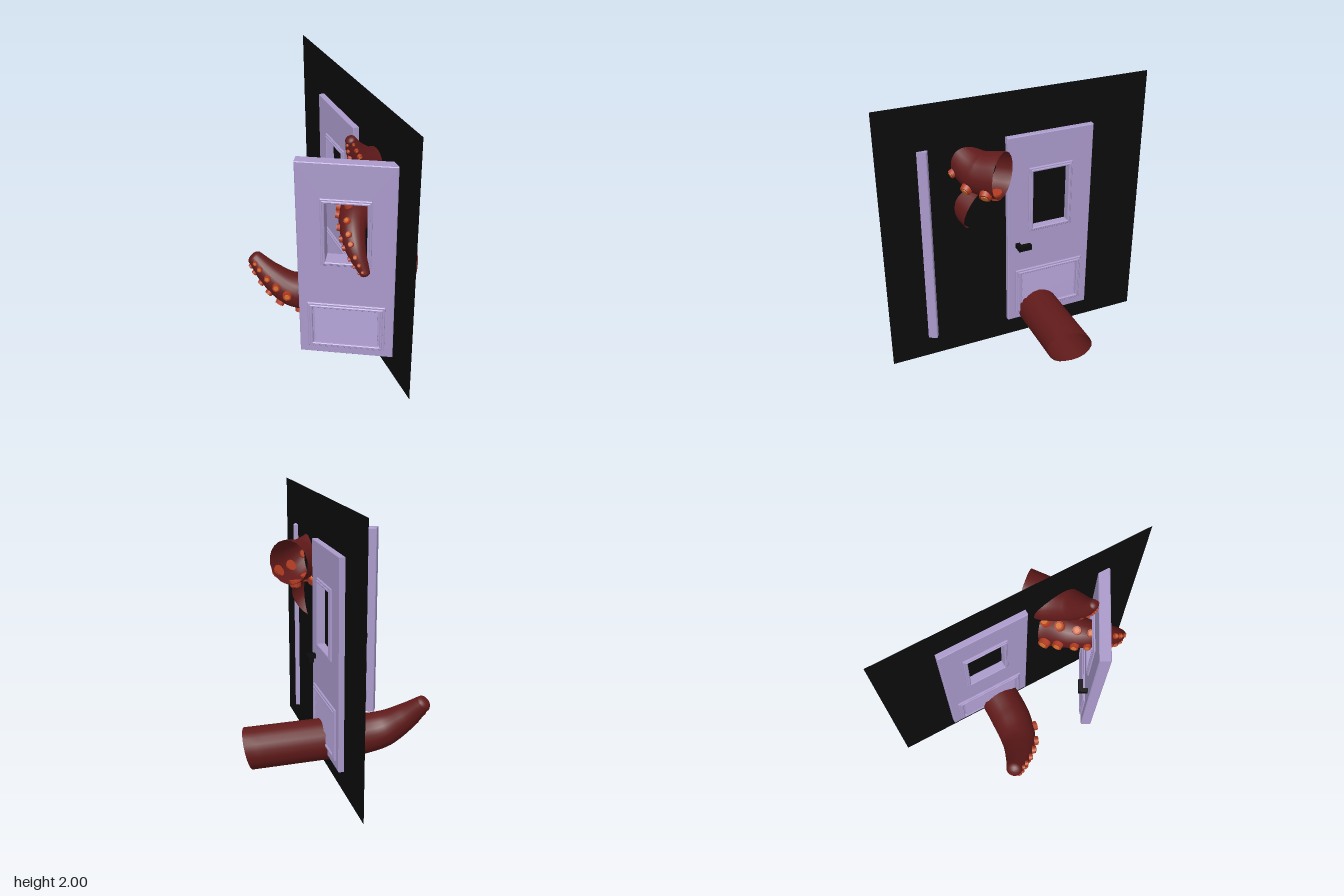
import * as THREE from 'three';

const mat = (color, side = THREE.FrontSide) => new THREE.MeshStandardMaterial({ color, side });
const lilac = mat(0xaa9acb);
const black = mat(0x0b0b0b, THREE.DoubleSide);
const handleBlack = mat(0x0b0b0b);
const skin = mat(0x611a1a, THREE.DoubleSide);
const rim = mat(0xb03a20);
const pad = mat(0xd0702c);

function add(parent, name, geometry, material, x = 0, y = 0, z = 0) {
  const mesh = new THREE.Mesh(geometry, material);
  mesh.name = name;
  mesh.position.set(x, y, z);
  parent.add(mesh);
  return mesh;
}

// Rectangular slab with a rectangular hole, centred in depth
function frameGeometry(w, h, holeW, holeH, depth, holeY = 0) {
  const rect = (Type, rw, rh, cy) => new Type([[-1, -1], [1, -1], [1, 1], [-1, 1]]
    .map(([a, b]) => new THREE.Vector2(a * rw / 2, cy + b * rh / 2)));
  const bevel = 0.005;
  const shape = rect(THREE.Shape, w - 2 * bevel, h - 2 * bevel, 0);
  shape.holes.push(rect(THREE.Path, holeW + 2 * bevel, holeH + 2 * bevel, holeY));
  const geometry = new THREE.ExtrudeGeometry(shape, {
    depth: depth - 2 * bevel, bevelThickness: bevel, bevelSize: bevel, bevelSegments: 1,
  });
  return geometry.translate(0, 0, bevel - depth / 2);
}

// Door with its width along x; the handle sits on the -x end of the chosen side
function makeDoor(name, side) {
  const door = new THREE.Group();
  door.name = name;
  add(door, 'doorLeaf', frameGeometry(0.66, 1.52, 0.28, 0.45, 0.08, 0.255), lilac, 0, 0.92, 0);

  // Stepped window trim, standing out on both faces
  add(door, 'windowTrimOuter', frameGeometry(0.34, 0.51, 0.305, 0.475, 0.106), lilac, 0, 1.175, 0);
  add(door, 'windowTrimInner', frameGeometry(0.315, 0.485, 0.28, 0.45, 0.12), lilac, 0, 1.175, 0);

  // Vent with stepped trim and louvres on both faces
  add(door, 'ventTrimOuter', frameGeometry(0.54, 0.38, 0.5, 0.34, 0.104), lilac, 0, 0.41, 0);
  add(door, 'ventTrimInner', frameGeometry(0.51, 0.35, 0.47, 0.31, 0.12), lilac, 0, 0.41, 0);
  for (const face of [-1, 1]) {
    for (let i = 0; i < 4; i++) {
      const slat = add(door, 'ventSlat', new THREE.BoxGeometry(0.44, 0.074, 0.014), lilac,
        0, 0.3 + i * 0.074, face * 0.042);
      slat.rotation.x = -face * 0.2;
    }
  }

  // Lever handle
  add(door, 'handleStem', new THREE.BoxGeometry(0.032, 0.036, 0.075), handleBlack, -0.254, 0.82, side * 0.07);
  add(door, 'handleLever', new THREE.BoxGeometry(0.1, 0.04, 0.035), handleBlack, -0.22, 0.82, side * 0.092);
  return door;
}

// Tapering tentacle: open at its base, rounded at its tip, two rows of suckers
// knots: [x, y, z, radius]; face: sucker direction at the base; cut: normal of the base opening
function makeTentacle(name, knots, face, suckers, cut) {
  const group = new THREE.Group();
  group.name = name;
  const curve = new THREE.CatmullRomCurve3(knots.map((k) => new THREE.Vector3(k[0], k[1], k[2])));
  const steps = 40, sides = 20, capSteps = 5;
  const frames = [];
  const ref = new THREE.Vector3(...face);
  for (let i = 0; i <= steps; i++) {
    const t = i / steps, p = curve.getPoint(t), d = curve.getTangent(t);
    ref.addScaledVector(d, -ref.dot(d)).normalize();
    const f = t * (knots.length - 1), k = Math.min(Math.floor(f), knots.length - 2);
    const r = THREE.MathUtils.lerp(knots[k][3], knots[k + 1][3], f - k);
    frames.push({ p, d, r, a: ref.clone(), b: d.clone().cross(ref) });
  }
  const outward = (f, angle) => f.a.clone().multiplyScalar(Math.cos(angle))
    .addScaledVector(f.b, Math.sin(angle));

  // Domed tip rings follow the body rings
  const rings = frames.slice();
  const end = frames[steps];
  for (let i = 1; i <= capSteps; i++) {
    const q = (i / capSteps) * Math.PI / 2;
    rings.push({ ...end, p: end.p.clone().addScaledVector(end.d, end.r * 0.6 * Math.sin(q)),
      r: Math.max(end.r * Math.cos(q), 0.0005) });
  }
  const position = [], index = [];
  rings.forEach((f, i) => {
    for (let j = 0; j < sides; j++) {
      const v = outward(f, (j / sides) * Math.PI * 2).multiplyScalar(f.r);
      if (i === 0 && cut) v.addScaledVector(f.d, -v.dot(cut) / f.d.dot(cut));
      position.push(...v.add(f.p).toArray());
      if (i === 0) continue;
      const n = (j + 1) % sides, lo = (i - 1) * sides, hi = i * sides;
      index.push(lo + j, lo + n, hi + n, lo + j, hi + n, hi + j);
    }
  });
  const geometry = new THREE.BufferGeometry();
  geometry.setAttribute('position', new THREE.Float32BufferAttribute(position, 3));
  geometry.setIndex(index);
  geometry.computeVertexNormals();
  add(group, 'tentacleBody', geometry, skin);

  // Paired suckers, closer together and smaller toward the tip
  const { from, to, count } = suckers;
  const up = new THREE.Vector3(0, 1, 0);
  for (let i = 0; i < count; i++) {
    const s = i / (count - 1);
    const t = from + (to - from) * (1.3 * s - 0.3 * s * s);
    const f = frames[Math.round(t * steps)];
    const size = f.r * 0.29;
    for (const row of [-1, 1]) {
      const dir = outward(f, row * 0.55);
      const sucker = new THREE.Group();
      sucker.name = 'sucker';
      sucker.position.copy(f.p).addScaledVector(dir, f.r);
      sucker.quaternion.setFromUnitVectors(up, dir);
      add(sucker, 'suckerRim', new THREE.CylinderGeometry(size * 0.88, size, size, 10), rim, 0, size * 0.12, 0);
      add(sucker, 'suckerPad', new THREE.CylinderGeometry(size * 0.55, size * 0.6, size * 0.2, 10), pad,
        0, size * 0.62, 0);
      group.add(sucker);
    }
  }
  return group;
}

export function createModel() {
  const model = new THREE.Group();
  model.name = 'tentacleDoorway';

  // Dark doorway backdrop
  const backdrop = add(model, 'darkBackdrop', new THREE.PlaneGeometry(2, 2), black, 0.04, 1, 0);
  backdrop.rotation.y = Math.PI / 2;

  // Closed door and door standing ajar
  const closed = makeDoor('closedDoor', 1);
  closed.position.set(0.04, 0, -0.24);
  closed.rotation.y = Math.PI / 2;
  const ajar = makeDoor('openDoor', -1);
  ajar.position.set(-0.232, 0, 0.53);
  ajar.rotation.y = -Math.PI / 6;
  model.add(closed, ajar);

  // Tentacle bursting through the bottom of the closed door
  model.add(makeTentacle('lowerTentacle', [
    [0.63, 0.225, -0.155, 0.155], [0.35, 0.225, -0.155, 0.155], [0.07, 0.225, -0.155, 0.155],
    [-0.2, 0.225, -0.155, 0.155], [-0.39, 0.265, -0.19, 0.137], [-0.53, 0.38, -0.27, 0.1],
    [-0.63, 0.51, -0.36, 0.06],
  ], [0, -0.5, 0.75], { from: 0.6, to: 0.98, count: 6 }, new THREE.Vector3(1, -0.25, 0.28)));

  // Tentacle rising over the top of the open door
  model.add(makeTentacle('upperTentacle', [
    [0.23, 1.49, 0.19, 0.165], [0.1, 1.49, 0.31, 0.15], [-0.04, 1.58, 0.4, 0.105],
    [-0.13, 1.69, 0.44, 0.066], [-0.18, 1.79, 0.465, 0.035],
  ], [0.1, -0.8, 0.4], { from: 0.1, to: 0.97, count: 8 }));

  // Tentacle reaching through the open door's window
  model.add(makeTentacle('windowTentacle', [
    [0.05, 1.18, 0.3, 0.165], [-0.08, 1.23, 0.39, 0.13], [-0.19, 1.22, 0.53, 0.092],
    [-0.23, 1.12, 0.67, 0.068], [-0.205, 0.98, 0.77, 0.034],
  ], [-0.4, 0.6, -0.65], { from: 0.08, to: 0.97, count: 10 }));

  return model;
}
